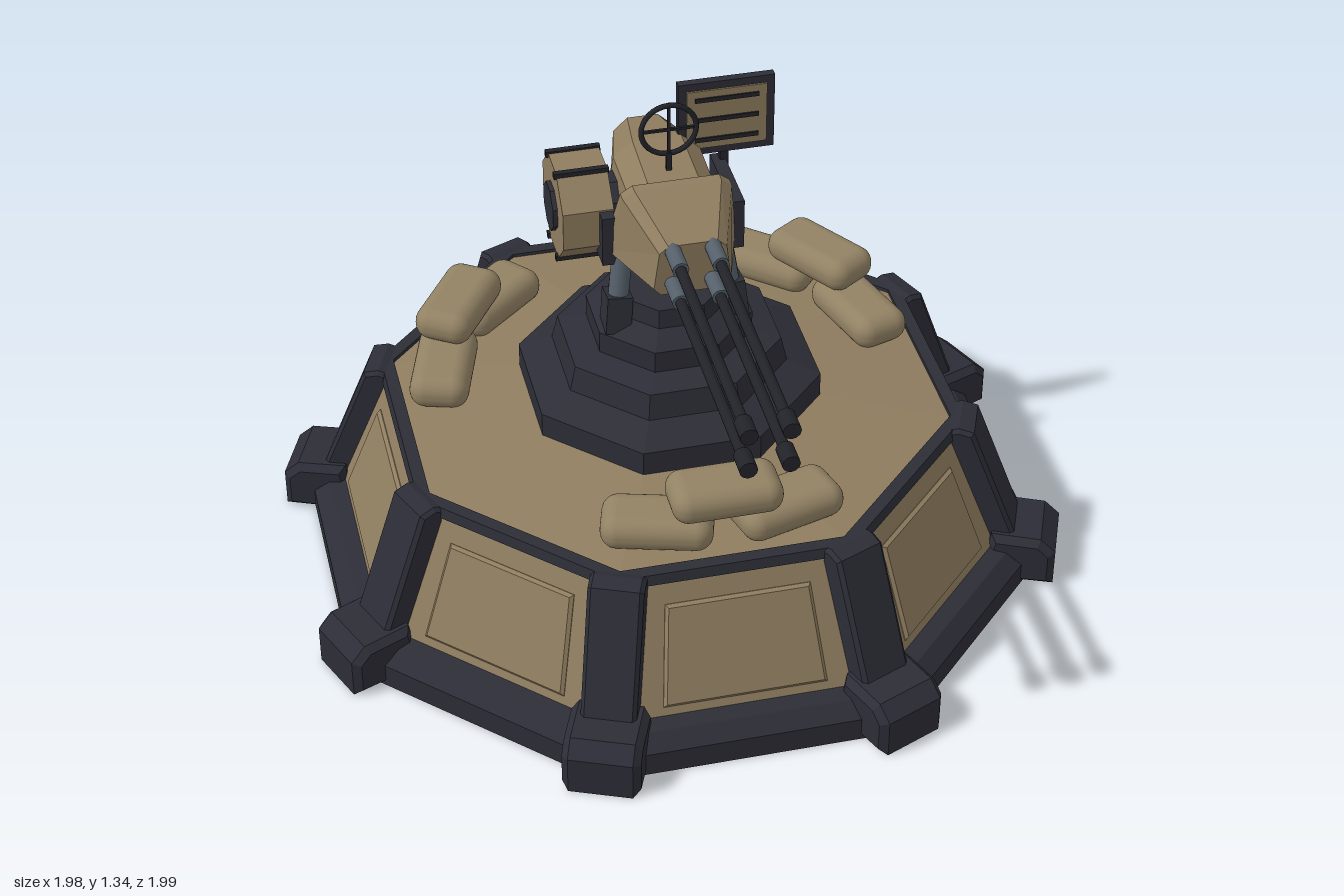
import * as THREE from 'three';
import { RoundedBoxGeometry } from 'three/addons/geometries/RoundedBoxGeometry.js';

const mat = (name, color) => {
  const m = new THREE.MeshStandardMaterial({ color });
  m.name = name;
  return m;
};

export function createModel() {
  const tan = mat('tan armour', 0x8f7d5f);
  const cloth = mat('sandbag cloth', 0x928264);
  const dark = mat('dark frame', 0x2c2d36);
  const black = mat('black metal', 0x222329);
  const steel = mat('grey steel', 0x55606a);

  const model = new THREE.Group();
  model.name = 'gunTurret';

  const flat = (geo) => {
    const g = geo.index ? geo.toNonIndexed() : geo;
    g.computeVertexNormals();
    return g;
  };
  const add = (name, geo, material, x = 0, y = 0, z = 0, parent = model) => {
    const mesh = new THREE.Mesh(geo, material);
    mesh.name = name;
    mesh.position.set(x, y, z);
    parent.add(mesh);
    return mesh;
  };
  const box = (name, material, w, h, d, x, y, z, parent) =>
    add(name, new THREE.BoxGeometry(w, h, d), material, x, y, z, parent);
  // rod between two points
  const rod = (name, material, a, b, r, sides = 12) => {
    const p = new THREE.Vector3(...a), q = new THREE.Vector3(...b);
    const mesh = add(name, new THREE.CylinderGeometry(r, r, p.distanceTo(q), sides), material);
    mesh.position.copy(p).lerp(q, 0.5);
    mesh.quaternion.setFromUnitVectors(new THREE.Vector3(0, 1, 0), q.sub(p).normalize());
    return mesh;
  };
  // eight-sided ring from a profile of [apothem, y]
  const octagon = (name, material, profile) => add(name, flat(new THREE.LatheGeometry(
    profile.map(([a, y]) => new THREE.Vector2(a / Math.cos(Math.PI / 8), y)), 8, Math.PI / 8)), material);
  const poly = (pts) => new THREE.Shape(pts.map(([x, y]) => new THREE.Vector2(x, y)));
  // profile in the radial plane, given a width and centred
  const radialSlab = (pts, width, bevel) => {
    const g = new THREE.ExtrudeGeometry(poly(pts), {
      depth: width - 2 * bevel, bevelEnabled: true, bevelSize: bevel,
      bevelThickness: bevel, bevelOffset: -bevel, bevelSegments: 1,
    });
    g.translate(0, 0, bevel - width / 2);
    return g.rotateY(-Math.PI / 2);
  };

  // base
  octagon('plinth', dark, [[0, 0], [0.92, 0], [0.92, 0.065], [0.88, 0.1], [0.83, 0.108]]);
  octagon('wall', tan, [[0.843, 0.09], [0.71, 0.45]]);
  octagon('deckRim', dark, [[0.722, 0.435], [0.715, 0.462], [0.682, 0.462], [0.68, 0.44]]);
  octagon('deck', tan, [[0.69, 0.452], [0.33, 0.492], [0, 0.492]]);

  const wallPanel = new THREE.ExtrudeGeometry(
    poly([[-0.205, 0.035], [0.205, 0.035], [0.18, 0.295], [-0.18, 0.295]]),
    { depth: 0.002, bevelEnabled: true, bevelSize: 0.008, bevelThickness: 0.008, bevelOffset: -0.004, bevelSegments: 1 });
  const pillar = radialSlab([[0.74, 0.06], [0.96, 0.06], [0.93, 0.14], [0.805, 0.458], [0.765, 0.468], [0.74, 0.46]], 0.14, 0.01);
  const foot = radialSlab([[0.84, 0], [1.04, 0], [1.04, 0.105], [1.0, 0.142], [0.87, 0.147]], 0.197, 0.018);
  for (let i = 0; i < 8; i++) {
    const side = new THREE.Group();
    side.name = 'wallSection';
    side.rotation.y = i * Math.PI / 4;
    model.add(side);
    add('wallPanel', wallPanel, tan, 0, 0.1, 0.84, side).rotation.x = -0.356;
    const corner = new THREE.Group();
    corner.name = 'cornerPost';
    corner.rotation.y = (i + 0.5) * Math.PI / 4;
    model.add(corner);
    add('pillar', pillar, dark, 0, 0, 0, corner);
    add('foot', foot, dark, 0, 0, 0, corner);
  }

  // sandbag stacks
  const bag = new RoundedBoxGeometry(0.28, 0.092, 0.155, 4, 0.043);
  for (const heading of [0, 123, -123]) {
    for (const [offset, y] of [[-16, 0.5], [16, 0.5], [0, 0.588]]) {
      const a = THREE.MathUtils.degToRad(heading + offset);
      add('sandbag', bag, cloth, Math.sin(a) * 0.59, y, Math.cos(a) * 0.59).rotation.y = a;
    }
  }

  // stepped pedestal
  octagon('pedestal', dark, [[0.367, 0.48], [0.367, 0.555], [0.285, 0.592], [0.27, 0.66], [0.2, 0.675],
    [0.2, 0.735], [0.145, 0.768], [0.14, 0.82], [0, 0.82]]);

  // lofted body: rows of chamfered sections, back to front
  const loft = (rows) => {
    const pos = [];
    const rings = rows.map(({ zb, zt, y0, y1, wb, wt, c }) => {
      const zAt = (y) => zb + (zt - zb) * (y - y0) / (y1 - y0);
      const xAt = (y) => wb + (wt - wb) * (y - y0) / (y1 - y0);
      const right = [[wb - c, y0], [xAt(y0 + c), y0 + c], [xAt(y1 - c), y1 - c], [wt - c, y1]];
      const left = right.map(([x, y]) => [-x, y]).reverse();
      return [...right, ...left].map(([x, y]) => [x, y, zAt(y)]);
    });
    for (let i = 0; i + 1 < rings.length; i++) {
      for (let j = 0; j < 8; j++) {
        const k = (j + 1) % 8, A = rings[i], B = rings[i + 1];
        pos.push(...A[j], ...A[k], ...B[j], ...A[k], ...B[k], ...B[j]);
      }
    }
    const back = rings[0], front = rings[rings.length - 1];
    for (let j = 1; j < 7; j++) {
      pos.push(...front[0], ...front[j], ...front[j + 1], ...back[0], ...back[j + 1], ...back[j]);
    }
    const g = new THREE.BufferGeometry();
    g.setAttribute('position', new THREE.Float32BufferAttribute(pos, 3));
    g.computeVertexNormals();
    return g;
  };
  add('gunHousing', loft([
    { zb: -0.295, zt: -0.295, y0: 0.95, y1: 1.12, wb: 0.085, wt: 0.075, c: 0.035 },
    { zb: -0.17, zt: -0.13, y0: 0.91, y1: 1.157, wb: 0.13, wt: 0.108, c: 0.045 },
    { zb: 0.02, zt: 0.09, y0: 0.925, y1: 1.143, wb: 0.13, wt: 0.105, c: 0.04 },
  ]), tan);
  add('gunMantlet', loft([
    { zb: -0.01, zt: 0.075, y0: 0.922, y1: 1.165, wb: 0.17, wt: 0.135, c: 0.025 },
    { zb: 0.015, zt: 0.1, y0: 0.922, y1: 1.165, wb: 0.17, wt: 0.135, c: 0.025 },
    { zb: 0.255, zt: 0.26, y0: 0.955, y1: 1.1, wb: 0.1, wt: 0.082, c: 0.02 },
  ]), tan);

  // four barrels
  for (const x of [-0.05, 0.05]) {
    for (const y of [0.987, 1.083]) {
      rod('barrelSleeve', steel, [x, y, 0.2], [x, y, 0.34], 0.021);
      rod('barrel', black, [x, y, 0.33], [x, y, 0.96], 0.014);
      rod('muzzle', black, [x, y, 0.94], [x, y, 1.0], 0.022);
    }
  }

  // cradle plates and legs
  for (const s of [-1, 1]) {
    box('cradlePlate', dark, 0.035, 0.14, 0.225, s * 0.165, 0.99, -0.058);
    rod('cradleBolt', black, [s * 0.18, 0.99, -0.058], [s * 0.188, 0.99, -0.058], 0.016);
    rod('cradleLeg', steel, [s * 0.15, 0.78, 0.065], [s * 0.128, 0.945, 0.035], 0.027);
    const socket = box('legSocket', dark, 0.065, 0.1, 0.075, s * 0.15, 0.782, 0.06);
    socket.rotation.set(-0.15, 0, s * 0.1);
  }

  // ammunition drum on the right flank
  const drumY = 1.012, drumZ = -0.105;
  const disc = (name, material, r, x0, x1) => {
    const g = new THREE.CylinderGeometry(r, r, x1 - x0, 8, 1);
    g.rotateY(Math.PI / 8).rotateZ(Math.PI / 2);
    return add(name, flat(g), material, (x0 + x1) / 2, drumY, drumZ);
  };
  disc('ammoDrum', tan, 0.137, -0.275, -0.145);
  disc('drumHub', dark, 0.065, -0.287, -0.27);
  disc('drumNeck', dark, 0.07, -0.16, -0.1);
  for (const angle of [1, 3, 5, 7]) {
    const a = angle * Math.PI / 4 + (angle % 4 === 1 ? 1 : -1) * Math.PI / 8;
    box('drumBar', black, 0.14, 0.016, 0.016, -0.212, drumY + Math.sin(a) * 0.134, drumZ + Math.cos(a) * 0.134);
  }

  // ring sight
  add('sightRing', new THREE.TorusGeometry(0.07, 0.007, 8, 32), black, 0, 1.265, 0);
  box('sightCrossbar', black, 0.14, 0.007, 0.007, 0, 1.265, 0);
  box('sightPost', black, 0.007, 0.2, 0.007, 0, 1.235, 0);
  box('sightFoot', black, 0.014, 0.07, 0.014, 0, 1.165, 0);

  // shield board on a pole
  box('boardPole', black, 0.022, 0.42, 0.022, 0.178, 0.935, -0.15);
  box('board', dark, 0.25, 0.212, 0.022, 0.181, 1.194, -0.145);
  box('boardFace', tan, 0.208, 0.17, 0.006, 0.181, 1.194, -0.132);
  for (const y of [1.135, 1.194, 1.253]) box('boardSlat', black, 0.165, 0.012, 0.006, 0.181, y, -0.128);

  return model;
}
